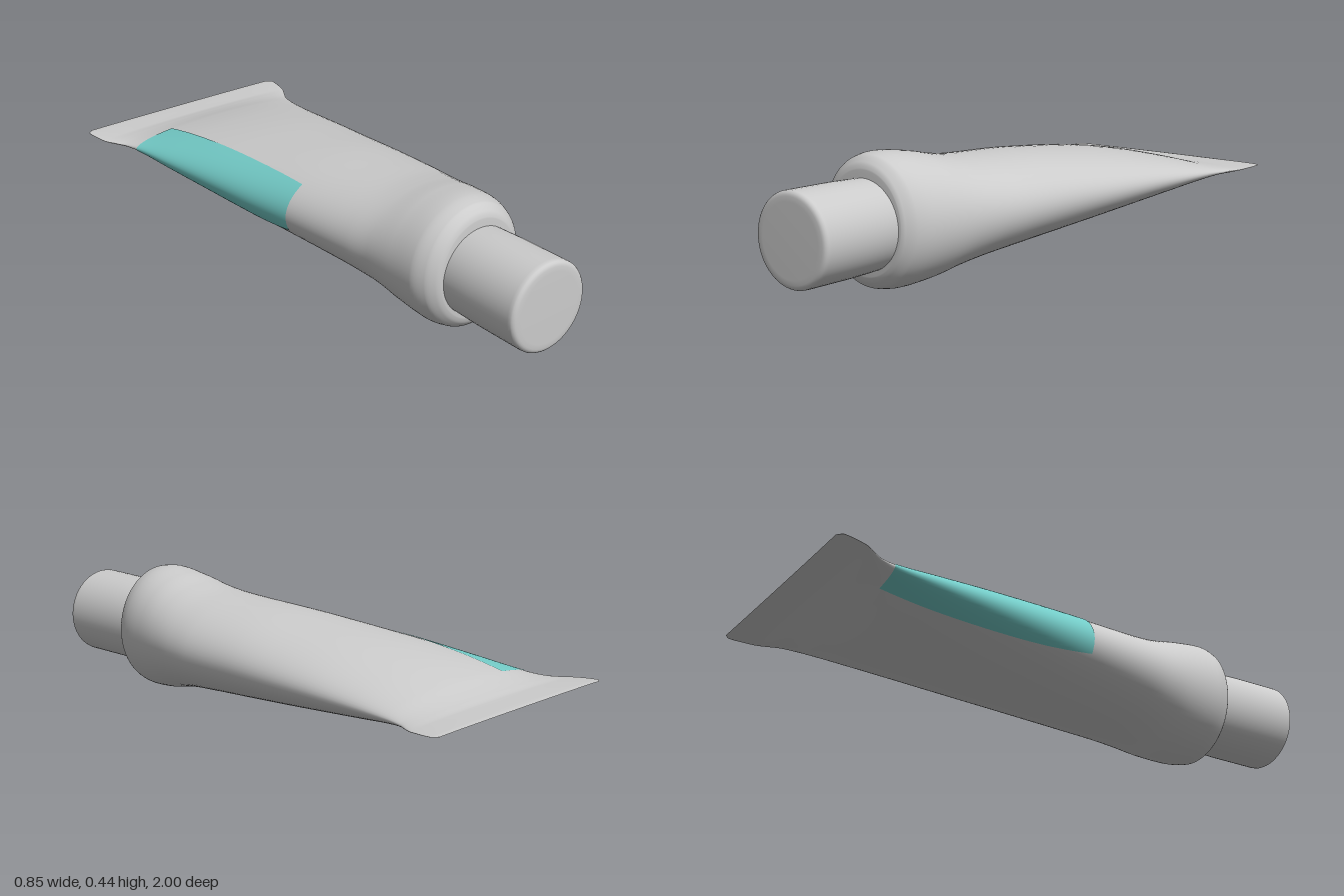
import * as THREE from 'three';
import { ParametricGeometry } from 'three/addons/geometries/ParametricGeometry.js';

// Tube cross-sections from crimp to shoulder: z, xMin, xMax, yMin, yMax
const ROWS = [
  [-1.0, -0.405, 0.405, 0.238, 0.243],
  [-0.98, -0.424, 0.424, 0.235, 0.245],
  [-0.9, -0.412, 0.412, 0.222, 0.246],
  [-0.86, -0.388, 0.392, 0.208, 0.253],
  [-0.82, -0.364, 0.372, 0.196, 0.263],
  [-0.75, -0.346, 0.358, 0.176, 0.283],
  [-0.6, -0.333, 0.344, 0.145, 0.315],
  [-0.4, -0.315, 0.333, 0.118, 0.345],
  [-0.2, -0.295, 0.322, 0.097, 0.366],
  [0, -0.27, 0.311, 0.08, 0.384],
  [0.2, -0.247, 0.3, 0.065, 0.395],
  [0.3, -0.235, 0.288, 0.055, 0.402],
  [0.4, -0.223, 0.27, 0.038, 0.416],
  [0.5, -0.22, 0.248, 0.014, 0.436],
  [0.6, -0.217, 0.222, 0.003, 0.447],
  [0.65, -0.2, 0.198, 0.01, 0.44],
  [0.675, -0.178, 0.175, 0.03, 0.42],
  [0.685, -0.16, 0.16, 0.05, 0.4],
  [0.688, -0.13, 0.13, 0.09, 0.35],
];
const LAST = ROWS.length - 1;
const slope = (i, k) => (ROWS[i + 1][k] - ROWS[i][k]) / (ROWS[i + 1][0] - ROWS[i][0]);

// Monotone tangent, so the skin never overshoots a section
function tangent(i, k) {
  if (i === 0) return slope(0, k);
  if (i === LAST) return slope(LAST - 1, k);
  const a = slope(i - 1, k), b = slope(i, k);
  return a * b <= 0 ? 0 : (2 * a * b) / (a + b);
}

// Smoothly interpolated section at a given z
function sectionAt(z) {
  let i = 0;
  while (i < LAST - 1 && z > ROWS[i + 1][0]) i++;
  const h = ROWS[i + 1][0] - ROWS[i][0];
  const t = (z - ROWS[i][0]) / h, t2 = t * t, t3 = t2 * t;
  const [x0, x1, y0, y1] = [1, 2, 3, 4].map((k) =>
    (2 * t3 - 3 * t2 + 1) * ROWS[i][k] + (t3 - 2 * t2 + t) * h * tangent(i, k) +
    (3 * t2 - 2 * t3) * ROWS[i + 1][k] + (t3 - t2) * h * tangent(i + 1, k));
  return { cx: (x0 + x1) / 2, cy: (y0 + y1) / 2, a: (x1 - x0) / 2, b: (y1 - y0) / 2 };
}

function skinPoint(z, angle, offset, target) {
  const s = sectionAt(z);
  target.set(s.cx + (s.a + offset) * Math.cos(angle), s.cy + (s.b + offset) * Math.sin(angle), z);
}

export function createModel() {
  const group = new THREE.Group();
  const grey = new THREE.MeshStandardMaterial({ color: 0xcccccc });
  const teal = new THREE.MeshStandardMaterial({ color: 0x74ccc8 });
  const add = (name, geometry, material) => {
    const mesh = new THREE.Mesh(geometry, material);
    mesh.name = name;
    group.add(mesh);
    return mesh;
  };

  // Squeezable body: round shoulder flattening into the crimped end
  add('tubeBody', new ParametricGeometry((u, v, target) => {
    const i = Math.min(Math.floor(v * LAST), LAST - 1);
    const z = THREE.MathUtils.lerp(ROWS[i][0], ROWS[i + 1][0], v * LAST - i);
    skinPoint(z, u * Math.PI * 2, 0, target);
  }, 72, LAST * 5), grey);

  // Coloured panel wrapped over one long edge, with a straight upper border
  add('sidePanel', new ParametricGeometry((u, v, target) => {
    const z = THREE.MathUtils.lerp(-0.77, 0.03, v);
    const s = sectionAt(z);
    const angleAtX = (x) => Math.acos(THREE.MathUtils.clamp((x - s.cx) / s.a, -1, 1));
    const top = angleAtX(-0.195), bottom = Math.PI * 2 - angleAtX(-0.25);
    skinPoint(z, THREE.MathUtils.lerp(top, bottom, u), 0.0025, target);
  }, 24, 40), teal);

  // Screw cap with a softened front rim
  const profile = [[0.147, 0.64], [0.15, 0.7], [0.153, 0.8], [0.154, 0.975]]
    .map(([r, y]) => new THREE.Vector2(r, y));
  for (let i = 1; i <= 5; i++) {
    const t = (i / 5) * Math.PI / 2;
    profile.push(new THREE.Vector2(0.136 + 0.018 * Math.cos(t), 0.98 + 0.018 * Math.sin(t)));
  }
  profile.push(new THREE.Vector2(0.12, 1), new THREE.Vector2(0, 1));
  const cap = add('cap', new THREE.LatheGeometry(profile, 56).rotateX(Math.PI / 2), grey);
  cap.position.set(0, 0.22, 0);

  return group;
}
